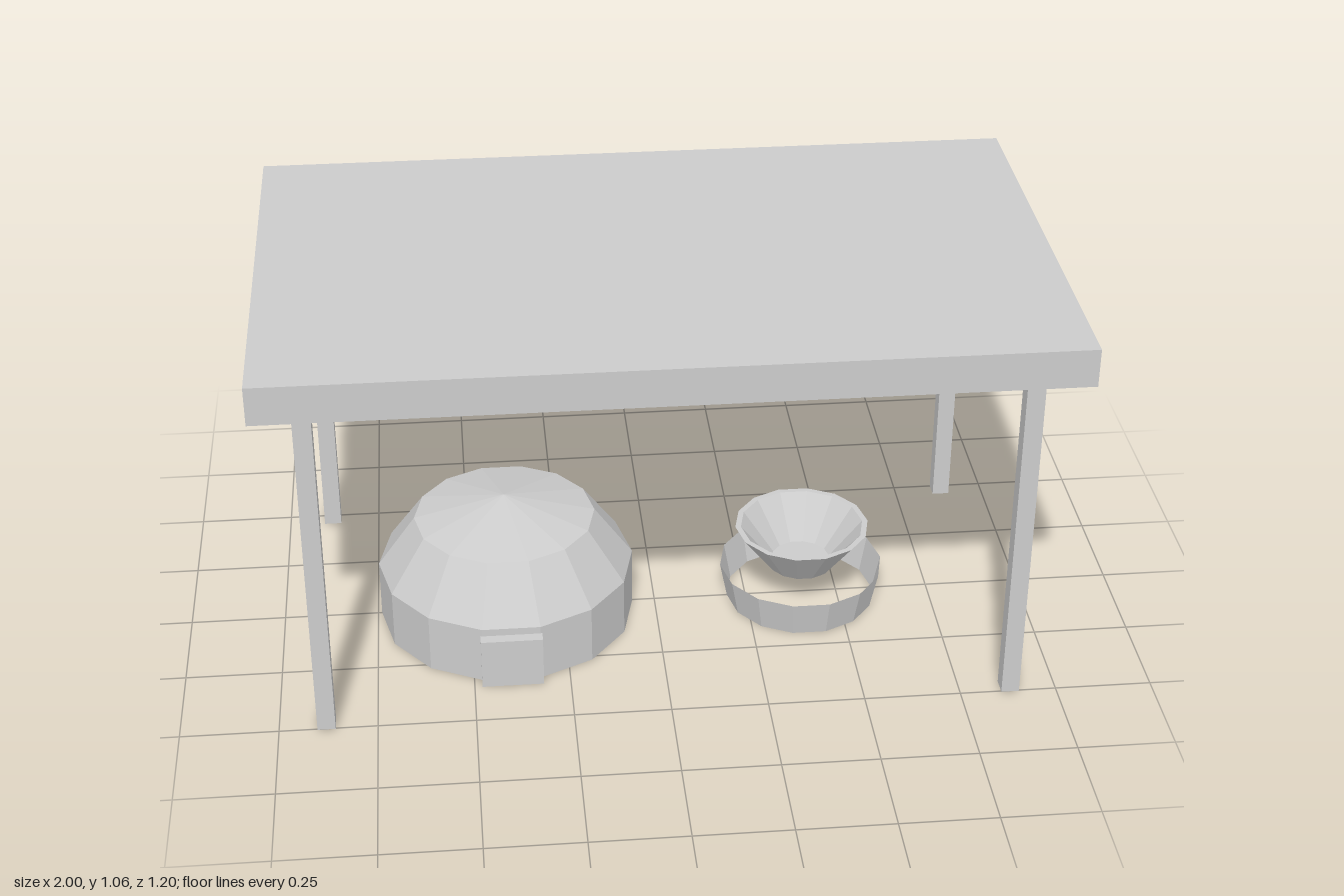
import * as THREE from 'three';

const grey = new THREE.MeshStandardMaterial({ color: 0xcccccc });
grey.name = 'grey';
const greySheet = new THREE.MeshStandardMaterial({ color: 0xcccccc, side: THREE.DoubleSide });
greySheet.name = 'grey sheet';

const SIDES = 14;

export function createModel() {
  const model = new THREE.Group();
  model.name = 'shelter';

  const add = (name, geometry, x, y, z, material = grey) => {
    const mesh = new THREE.Mesh(geometry, material);
    mesh.name = name;
    mesh.position.set(x, y, z);
    model.add(mesh);
  };

  // Faceted turned shape, with a corner pointing along x
  const turned = (profile) => {
    const points = profile.map(([r, y]) => new THREE.Vector2(r, y));
    const geometry = new THREE.LatheGeometry(points, SIDES, Math.PI / 2).toNonIndexed();
    geometry.computeVertexNormals();
    return geometry;
  };

  // Flat roof on four square posts
  add('roof', new THREE.BoxGeometry(2, 0.1, 1.2), 0, 1.01, 0);
  for (const x of [-0.88, 0.88]) {
    for (const z of [-0.48, 0.48]) {
      add('post', new THREE.BoxGeometry(0.046, 0.96, 0.046), x, 0.48, z);
    }
  }

  // Domed hut with a closed floor and a door
  add('hut', turned([[0, 0], [0.34, 0], [0.34, 0.16], [0.24, 0.3]]), -0.4, 0, 0);
  add('hutCap', turned([[0.24, 0.3], [0, 0.36]]), -0.4, 0, 0);
  add('door', new THREE.BoxGeometry(0.16, 0.14, 0.04), -0.4, 0.07, 0.34);

  // Open stand ring with a thick-walled bowl above it
  add('standRing', turned([[0.2, 0], [0.22, 0.1]]), 0.4, 0, 0, greySheet);
  add('bowl', turned([
    [0, 0.1], [0.09, 0.1], [0.18, 0.22], [0.165, 0.22], [0.078, 0.112], [0, 0.112],
  ]), 0.4, 0, 0);

  return model;
}
